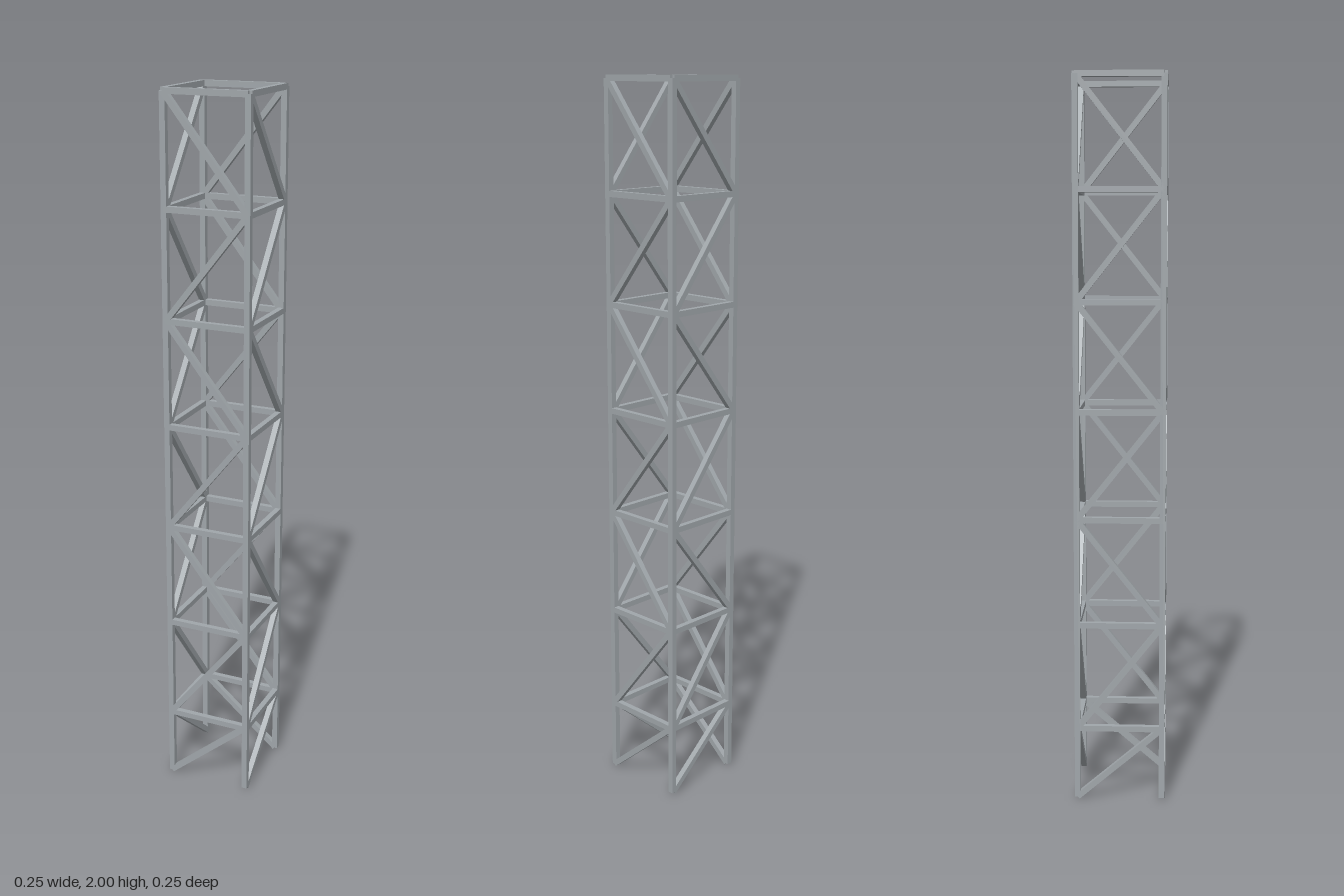
import * as THREE from 'three';

const BAR = 0.016; // bar thickness
const R = 0.118; // leg axis distance from centre
const TOP = 1.992; // axis height of the top ring
const STEP = 0.2975; // bay height
const BASE = 0.006; // axis height of the lowest joints

export function createModel() {
  const tower = new THREE.Group();
  tower.name = 'latticeTower';
  const material = new THREE.MeshStandardMaterial({ color: 0xa0a6aa, flatShading: true });

  // Square bar lying in a face of the tower, from (x0, y0) to (x1, y1)
  function bar(name, parent, x0, y0, x1, y1) {
    const dx = x1 - x0, dy = y1 - y0;
    const geometry = new THREE.BoxGeometry(Math.hypot(dx, dy), BAR, BAR);
    const mesh = new THREE.Mesh(geometry, material);
    mesh.name = name;
    mesh.position.set((x0 + x1) / 2, (y0 + y1) / 2, R);
    mesh.rotation.z = Math.atan2(dy, dx);
    parent.add(mesh);
  }

  // Bays from the foot up: a short one, then six equal ones.
  // Each has one brace per side; the equal bays alternate its direction.
  const bays = [{ low: BASE, high: TOP - 6 * STEP, rising: true }];
  for (let i = 0; i < 6; i++) {
    const high = TOP - (5 - i) * STEP;
    bays.push({ low: high - STEP, high, rising: i % 2 === 0 });
  }

  // Four identical sides, each carrying one corner leg
  ['front', 'left', 'back', 'right'].forEach((side, k) => {
    const face = new THREE.Group();
    face.name = side + 'Side';
    face.rotation.y = k * Math.PI / 2;
    bar('leg', face, R, BASE, R, TOP);

    for (const { low, high, rising } of bays) {
      bar('crossbar', face, -R, high, R, high);
      bar('brace', face, -R, rising ? low : high, R, rising ? high : low);
    }
    tower.add(face);
  });

  return tower;
}
